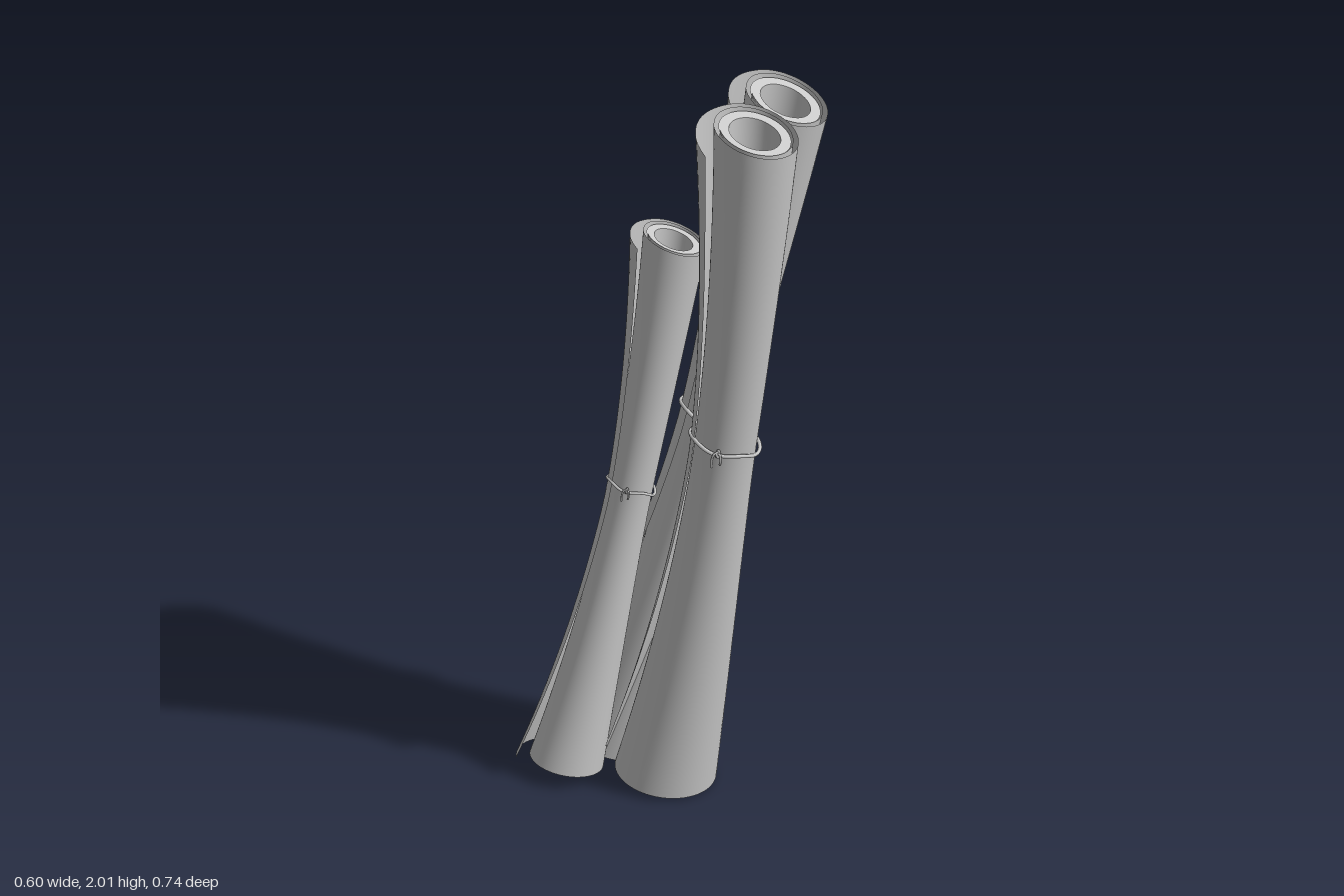
import * as THREE from 'three';

const paper = new THREE.MeshStandardMaterial({ color: 0xcccccc, side: THREE.DoubleSide });
const twine = new THREE.MeshStandardMaterial({ color: 0xcccccc });

// Smooth sheet from a rule p(u, v) -> [x, y, z]
function sheet(name, nu, nv, p) {
  const pos = [], index = [];
  for (let j = 0; j <= nv; j++)
    for (let i = 0; i <= nu; i++) pos.push(...p(i / nu, j / nv));
  for (let j = 0; j < nv; j++)
    for (let i = 0; i < nu; i++) {
      const a = j * (nu + 1) + i, b = a + nu + 1;
      index.push(a, a + 1, b, a + 1, b + 1, b);
    }
  const g = new THREE.BufferGeometry();
  g.setAttribute('position', new THREE.Float32BufferAttribute(pos, 3));
  g.setIndex(index);
  g.computeVertexNormals();
  const m = new THREE.Mesh(g, paper);
  m.name = name;
  return m;
}

function cord(name, pts, radius, closed = false) {
  const curve = new THREE.CatmullRomCurve3(pts, closed);
  const m = new THREE.Mesh(new THREE.TubeGeometry(curve, pts.length * 4, radius, 6, closed), twine);
  m.name = name;
  return m;
}

// A rolled sheet, pinched by a cord in the middle, with its free edge flaring at the ends
function makeScroll({ name, bottom, top, rBottom, rTop, neck, bow, tieAt, flapBottom, tipBottom }) {
  const scroll = new THREE.Group();
  scroll.name = name;
  const base = new THREE.Vector3(...bottom);
  const axis = new THREE.Vector3(...top).sub(base), L = axis.length();
  scroll.position.copy(base);
  scroll.quaternion.setFromUnitVectors(new THREE.Vector3(0, 1, 0), axis.normalize());

  const end = (t) => Math.abs(2 * t - 1);
  const radius = (t) => neck + ((t < 0.5 ? rBottom : rTop) - neck) * Math.pow(end(t), 1.6);
  // Point at radius factor k, angle a, height t; the top end is cut at a slant
  const place = (k, a, t) => {
    const x = radius(t) * k * Math.cos(a), z = radius(t) * k * Math.sin(a), b = 1 - end(t) ** 2;
    return [x + bow[0] * b, t * L - 0.11 * (x + z) * t ** 6, z + bow[1] * b];
  };

  // Outer spiral layers ending in the loose flap
  const turns = Math.PI * 2 * 2.1, flapArc = 1.75;
  scroll.add(sheet('rolledSheet', 120, 36, (u, t) => {
    const tip = -THREE.MathUtils.degToRad(THREE.MathUtils.lerp(tipBottom, 182, t));
    const left = turns * (1 - u);
    const f = Math.max(0, 1 - left / flapArc);
    const flare = (t < 0.5 ? flapBottom : 0.62) * Math.pow(end(t), 1.4);
    return place(0.76 + 0.23 * u + flare * Math.pow(f, 1.7) + 0.02 * f, tip + left, t);
  }));

  // Tightly wound core: hollow wall and its two end rings
  const lo = 0.003, hi = 0.997, full = Math.PI * 2;
  scroll.add(sheet('coreWall', 40, 30, (u, v) => place(0.55, u * full, lo + (hi - lo) * v)));
  for (const [ringName, t] of [['topRing', hi], ['bottomRing', lo]])
    scroll.add(sheet(ringName, 40, 1, (u, v) => place(0.55 + 0.22 * v, u * full, t)));

  // Cord around the neck
  const s = rTop / 0.12, n = 28, cr = neck * 1.01 + 0.002, loop = [];
  for (let i = 0; i < n; i++) {
    const a = i / n * full;
    loop.push(new THREE.Vector3(
      cr * Math.cos(a) + bow[0],
      tieAt * L - 0.016 * s * Math.cos(a) + 0.004 * Math.sin(4 * a),
      cr * Math.sin(a) + bow[1]));
  }
  scroll.add(cord('tieCord', loop, 0.005 * s, true));

  // Knot with two loose ends
  const knot = new THREE.Group();
  knot.name = 'knot';
  const ka = Math.PI * 0.84;
  knot.position.set(cr * Math.cos(ka) + bow[0], tieAt * L + 0.014 * s, cr * Math.sin(ka) + bow[1]);
  knot.rotation.y = -ka;
  knot.scale.setScalar(0.8 * s);
  const bead = new THREE.Mesh(new THREE.TorusKnotGeometry(0.008, 0.004, 32, 6), twine);
  bead.name = 'knotBead';
  knot.add(bead);
  for (const side of [-1, 1])
    knot.add(cord('looseEnd', [
      new THREE.Vector3(0, 0, 0),
      new THREE.Vector3(0.012, 0.008, 0.008 * side),
      new THREE.Vector3(0.014, -0.015, 0.014 * side),
      new THREE.Vector3(0.008, -0.04 - 0.008 * side, 0.012 * side),
    ], 0.004));
  scroll.add(knot);
  return scroll;
}

export function createModel() {
  const model = new THREE.Group();
  model.name = 'scrollBundle';
  model.add(
    makeScroll({
      name: 'frontScroll', bottom: [-0.048, 0.02, -0.035], top: [-0.033, 1.972, 0.255],
      rBottom: 0.141, rTop: 0.122, neck: 0.086, bow: [0.01, 0.036], tieAt: 0.525,
      flapBottom: 0.15, tipBottom: 130,
    }),
    makeScroll({
      name: 'leftScroll', bottom: [-0.012, 0.025, -0.235], top: [0.185, 1.937, 0.165],
      rBottom: 0.128, rTop: 0.122, neck: 0.083, bow: [0, 0.035], tieAt: 0.52,
      flapBottom: 0.45, tipBottom: 148,
    }),
    makeScroll({
      name: 'shortScroll', bottom: [-0.194, 0.035, -0.235], top: [0.02, 1.517, -0.063],
      rBottom: 0.104, rTop: 0.092, neck: 0.06, bow: [0.014, 0.016], tieAt: 0.53,
      flapBottom: 0.25, tipBottom: 148,
    }),
  );
  return model;
}
